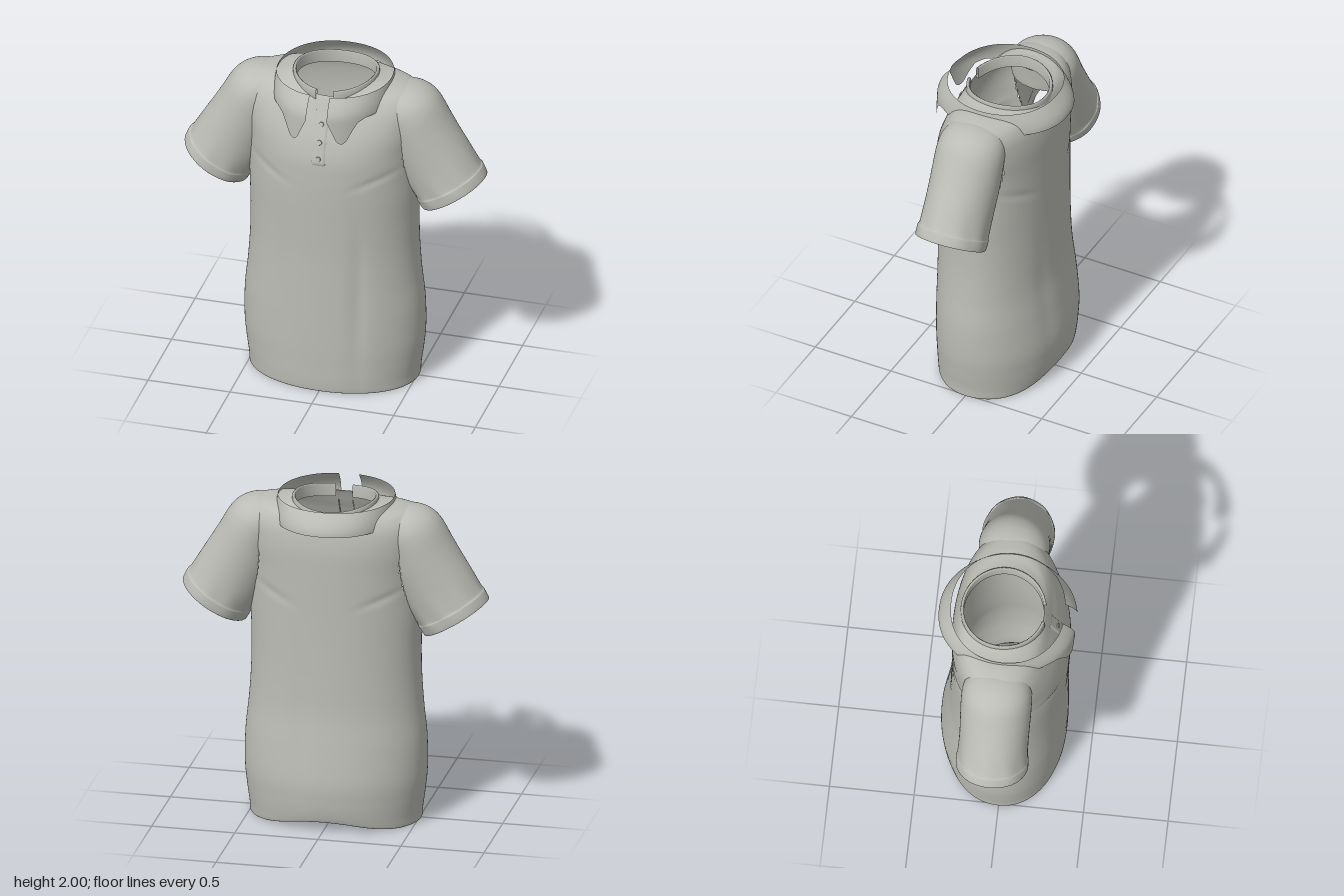
import * as THREE from 'three';

const TAU = Math.PI * 2;
const pow = (c, n) => Math.sign(c) * Math.abs(c) ** (2 / n);
const bump = (x, c, w) => Math.exp(-(((x - c) / w) ** 2));

// Torso rings: y at front, side and back, half width, front z, back z, squareness
const TORSO = [
  [0.05, 0.05, 0.09, 0.495, 0.33, -0.345, 2.1],
  [0.0, 0.0, 0.055, 0.51, 0.343, -0.36, 2.1],
  [0.06, 0.06, 0.1, 0.515, 0.35, -0.375, 2.1],
  [0.17, 0.17, 0.18, 0.53, 0.352, -0.385, 2.1],
  [0.3, 0.3, 0.3, 0.542, 0.354, -0.388, 2.1],
  [0.5, 0.5, 0.5, 0.54, 0.354, -0.365, 2.1],
  [0.7, 0.7, 0.7, 0.52, 0.354, -0.34, 2.1],
  [0.9, 0.9, 0.9, 0.507, 0.354, -0.332, 2.1],
  [1.1, 1.1, 1.1, 0.505, 0.36, -0.328, 2.1],
  [1.28, 1.28, 1.28, 0.51, 0.366, -0.326, 2.1],
  [1.43, 1.43, 1.43, 0.51, 0.367, -0.326, 2.1],
  [1.56, 1.58, 1.58, 0.512, 0.36, -0.326, 2.15],
  [1.68, 1.73, 1.72, 0.53, 0.33, -0.324, 2.2],
  [1.78, 1.865, 1.82, 0.53, 0.288, -0.312, 2.2],
  [1.84, 1.94, 1.88, 0.48, 0.258, -0.297, 2.15],
  [1.885, 1.965, 1.92, 0.39, 0.237, -0.282, 2.1],
  [1.915, 1.967, 1.945, 0.305, 0.222, -0.27, 2],
  [1.93, 1.975, 1.955, 0.25, 0.212, -0.262, 2],
];

// Sleeve rings: outer x, y, inner x, y, half depth
const SLEEVE = [
  [0.885, 1.425, 0.54, 1.215, 0.19],
  [0.915, 1.4, 0.54, 1.17, 0.21],
  [0.89, 1.452, 0.508, 1.218, 0.213],
  [0.872, 1.47, 0.498, 1.24, 0.207],
  [0.81, 1.575, 0.435, 1.34, 0.204],
  [0.742, 1.685, 0.385, 1.45, 0.206],
  [0.7, 1.755, 0.355, 1.53, 0.208],
  [0.625, 1.88, 0.33, 1.64, 0.208],
  [0.55, 1.938, 0.31, 1.72, 0.198],
  [0.455, 1.958, 0.3, 1.8, 0.165],
  [0.36, 1.945, 0.29, 1.87, 0.11],
];

// Smooth interpolation down the columns of a ring table, t in 0..1
function ringAt(rows, t) {
  const f = t * (rows.length - 1), k = Math.min(Math.floor(f), rows.length - 2), s = f - k;
  const [a, b, c, d] = [-1, 0, 1, 2].map((o) => rows[THREE.MathUtils.clamp(k + o, 0, rows.length - 1)]);
  return b.map((p, i) => {
    const m0 = (c[i] - a[i]) / 2, m1 = (d[i] - p) / 2, e = c[i] - p;
    return p + s * (m0 + s * (3 * e - 2 * m0 - m1 + s * (m0 + m1 - 2 * e)));
  });
}

// Surface from point(u, v); cut(x, y, z) leaves out the quads it accepts
function grid(nu, nv, closed, point, cut) {
  const pos = [], index = [], w = closed ? nu : nu + 1;
  for (let j = 0; j <= nv; j++) for (let i = 0; i < w; i++) pos.push(...point(i / nu, j / nv));
  for (let j = 0; j < nv; j++) {
    for (let i = 0; i < nu; i++) {
      const i2 = (i + 1) % w;
      const q = [j * w + i, j * w + i2, (j + 1) * w + i2, (j + 1) * w + i];
      const mid = [0, 1, 2].map((c) => q.reduce((s, v) => s + pos[v * 3 + c], 0) / 4);
      if (!cut || !cut(...mid)) index.push(q[0], q[1], q[2], q[0], q[2], q[3]);
    }
  }
  const g = new THREE.BufferGeometry();
  g.setAttribute('position', new THREE.Float32BufferAttribute(pos, 3));
  g.setIndex(index);
  g.computeVertexNormals();
  return g;
}

function torsoPoint(u, v) {
  const [yf, ys, yb, rx, zf, zb, n] = ringAt(TORSO, v);
  const s = Math.sin(u * TAU), c = Math.cos(u * TAU);
  const x = rx * pow(s, n);
  // the hem lifts only in the middle of the back
  const y = THREE.MathUtils.lerp(ys, c > 0 ? yf : yb, c < 0 && ys < 0.3 ? c ** 6 : c * c);
  let z = pow(c, n) * (c > 0 ? zf : -zb);
  // soft vertical folds in the cloth
  const fade = bump(y, 0.6, 0.45);
  if (c > 0) z -= fade * (0.014 * bump(x, 0.23, 0.05) + 0.006 * bump(x, -0.24, 0.06));
  else z += fade * 0.006 * bump(x, 0.15, 0.07);
  // slanting pull lines from the armpits
  const pull = 0.007 * bump(y - 0.4 * Math.abs(x), 1.31, 0.025) * bump(Math.abs(x), 0.33, 0.12);
  return [x, y, z - Math.sign(c) * pull];
}

// Torso ring at a given front height
function torsoAt(y) {
  let k = 1;
  while (k < TORSO.length - 2 && TORSO[k + 1][0] < y) k++;
  const t = THREE.MathUtils.clamp((y - TORSO[k][0]) / (TORSO[k + 1][0] - TORSO[k][0]), 0, 1);
  return TORSO[k].map((p, i) => THREE.MathUtils.lerp(p, TORSO[k + 1][i], t));
}

// Is a point well inside the torso / inside the sleeve tube
function insideTorso(x, y, z) {
  if (y > 1.72) return false;
  const [, , , rx, zf, zb, n] = torsoAt(y);
  return Math.abs(x / rx) ** n + Math.abs(z / (z > 0 ? zf : zb)) ** n < 0.95;
}
function insideSleeve(x, y, z) {
  const dx = Math.abs(x) - 0.7275, dy = y - 1.285;
  const along = -0.523 * dx + 0.852 * dy, across = 0.852 * dx + 0.523 * dy;
  return along > -0.01 && along < 0.5 && (across / 0.22) ** 2 + ((z + 0.015) / 0.206) ** 2 < 0.95;
}

const sleevePoint = (side) => (u, v) => {
  const [ox, oy, ix, iy, d] = ringAt(SLEEVE, v);
  const a = u * TAU, c = Math.cos(a);
  const r = 1 + 0.012 * Math.sin(a * 9 + v * 9) * bump(v, 0.25, 0.12);
  const x = (ox + ix) / 2 + (c * r * (ox - ix)) / 2;
  const y = (oy + iy) / 2 + (c * r * (oy - iy)) / 2;
  return [side * x, y, -0.015 - side * d * r * Math.sin(a)];
};

// Lower edge of the collar against distance from the centre line
const COLLAR_EDGE = [[0.055, 1.86], [0.085, 1.79], [0.11, 1.73], [0.135, 1.714], [0.16, 1.728],
  [0.19, 1.79], [0.22, 1.843], [0.26, 1.862]];
function collarEdge(x) {
  const k = COLLAR_EDGE.findIndex((p) => p[0] > x);
  if (k < 0) return 1.862;
  if (k === 0) return 1.86;
  const [a, b] = [COLLAR_EDGE[k - 1], COLLAR_EDGE[k]];
  return THREE.MathUtils.mapLinear(x, a[0], b[0], a[1], b[1]);
}
function collarPoint(u, v) {
  const a = THREE.MathUtils.lerp(0.155, TAU - 0.155, u), s = Math.sin(a), c = Math.cos(a);
  const low = c > 0 ? collarEdge(Math.abs(s) * 0.355) : 1.862;
  const y = THREE.MathUtils.lerp(low, 1.99, v);
  const d = (1.99 - y) / 0.13, flare = d < 1 ? Math.sin((d * Math.PI) / 2) : 1 + 0.08 * (d - 1);
  return [pow(s, 2.15) * (0.343 + 0.015 * flare), y, pow(c, 2.05) * (0.335 + 0.073 * flare)];
}

// Neck band: closed strip profile swept round the neck, open at the front, highest at the sides
const BAND = [[0, 1.92], [0.022, 1.92], [0.018, 1.99], [0.009, 1.998], [0, 1.99], [0, 1.92]];
function bandPoint(u, v) {
  const a = THREE.MathUtils.lerp(0.21, TAU - 0.21, u), c = Math.cos(a);
  const [o, y] = BAND[Math.round(v * 5)];
  return [Math.sin(a) * (0.236 + o), y - 0.03 * c * c, -0.025 + c * (0.235 + o)];
}

// Point on the chest, lifted off the cloth
function chest(x, y, lift) {
  const [, , , rx, zf, , n] = torsoAt(y);
  return [x, y, zf * (1 - Math.abs(x / rx) ** n) ** (1 / n) + lift];
}

export function createModel() {
  const shirt = new THREE.Group();
  shirt.name = 'shirt';
  const cloth = new THREE.MeshStandardMaterial({ color: 0xbcbcb6, side: THREE.DoubleSide });
  cloth.name = 'grey cloth';
  const add = (name, geometry) => {
    const mesh = new THREE.Mesh(geometry, cloth);
    mesh.name = name;
    shirt.add(mesh);
    return mesh;
  };

  add('torso', grid(200, 170, true, torsoPoint, insideSleeve));
  for (const [name, side] of [['leftSleeve', 1], ['rightSleeve', -1]]) {
    add(name, grid(110, 100, true, sleevePoint(side), insideTorso));
  }
  add('collar', grid(240, 10, false, collarPoint));
  add('neckBand', grid(80, 5, false, bandPoint));

  // Button placket with raised edges
  add('placket', grid(8, 24, false, (u, v) => {
    const edge = u === 0 || u === 1 || v === 0;
    return chest((u - 0.5) * 0.09, 1.53 + v * 0.33, edge ? -0.004 : 0.007);
  }));
  for (const y of [1.58, 1.68, 1.78]) {
    const button = add('button', new THREE.CylinderGeometry(0.014, 0.016, 0.008, 16));
    button.position.set(...chest(0, y, 0.009));
    button.rotation.x = Math.PI / 2 - (y > 1.6 ? 0.35 : 0.15);
  }
  return shirt;
}
